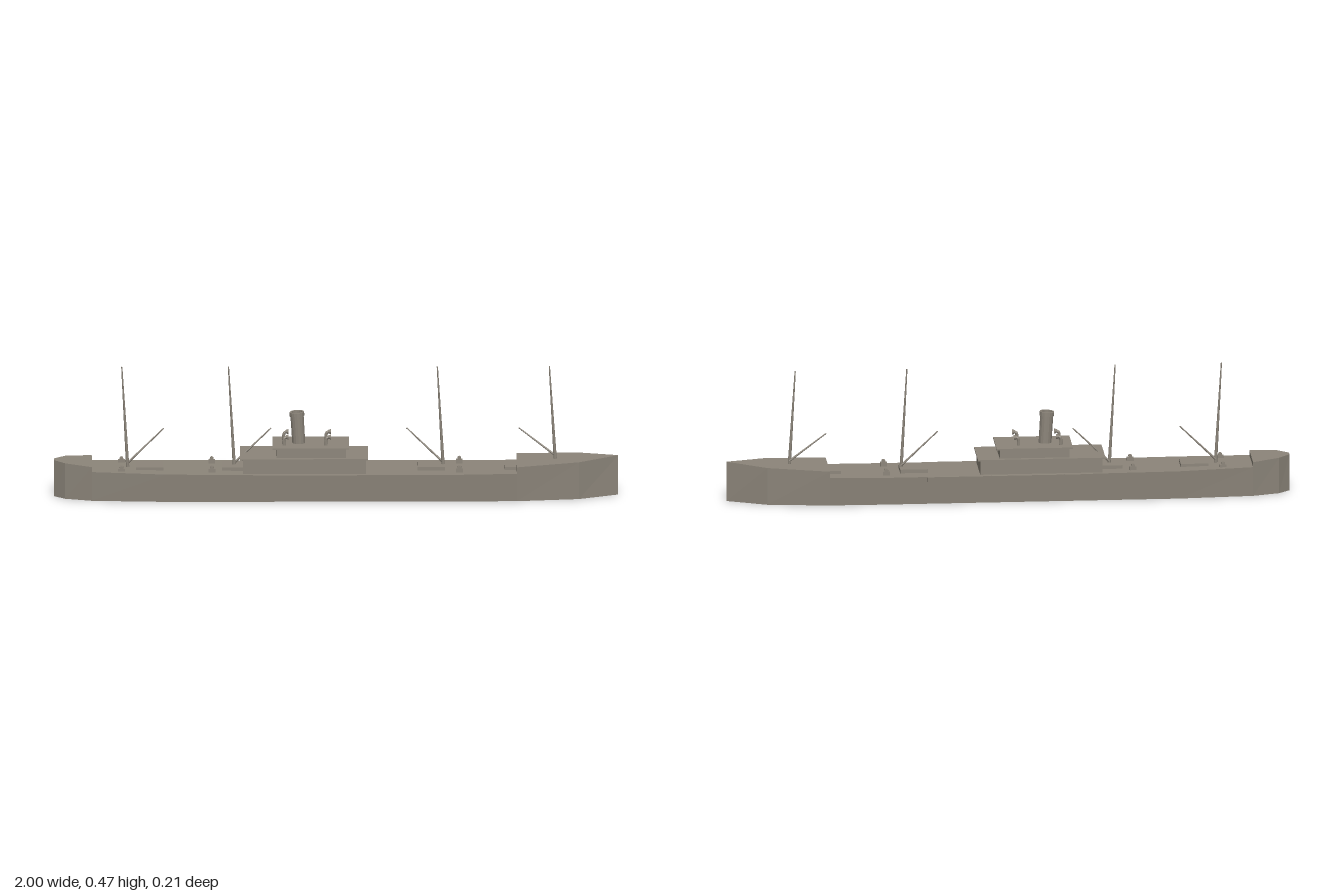
import * as THREE from 'three';

const hullGrey = new THREE.MeshStandardMaterial({ color: 0x8c857a, side: THREE.DoubleSide });
hullGrey.name = 'weathered grey';
hullGrey.flatShading = true;

function add(parent, name, geometry, x = 0, y = 0, z = 0) {
  const mesh = new THREE.Mesh(geometry, hullGrey);
  mesh.name = name;
  mesh.position.set(x, y, z);
  parent.add(mesh);
  return mesh;
}

// Box given by its x range, y range and half width
function block(parent, name, x0, x1, y0, y1, halfZ) {
  return add(parent, name, new THREE.BoxGeometry(x1 - x0, y1 - y0, halfZ * 2),
    (x0 + x1) / 2, (y0 + y1) / 2, 0);
}

// Tapered round pole between two points
function pole(parent, name, from, to, r0, r1) {
  const a = new THREE.Vector3(...from), b = new THREE.Vector3(...to);
  const dir = b.clone().sub(a);
  const mesh = add(parent, name, new THREE.CylinderGeometry(r1, r0, dir.length(), 8));
  mesh.position.copy(a).add(b).multiplyScalar(0.5);
  mesh.quaternion.setFromUnitVectors(new THREE.Vector3(0, 1, 0), dir.normalize());
  return mesh;
}

// Hull length: stations [x, half width, deck height], open underneath
function hullSection(parent, name, stations, bulkheadBase) {
  const p = [];
  const quad = (a, b, c, d) => p.push(...a, ...b, ...c, ...a, ...c, ...d);
  const top = ([x, w, y], s) => [x, y, s * w];
  const low = ([x, w], s) => [x, 0, s * w * 0.92];
  for (let i = 0; i < stations.length - 1; i++) {
    const a = stations[i], b = stations[i + 1];
    quad(low(a, 1), low(b, 1), top(b, 1), top(a, 1));
    quad(low(b, -1), low(a, -1), top(a, -1), top(b, -1));
    quad(top(a, 1), top(b, 1), top(b, -1), top(a, -1));
  }
  // Bulkheads where a raised deck steps down, and the blunt stern
  const first = stations[0], last = stations[stations.length - 1];
  const wall = (s, base, dir) => {
    const w = s[1] * (0.92 + 0.08 * base / s[2]);
    quad([s[0], base, -dir * w], [s[0], base, dir * w], top(s, dir), top(s, -dir));
  };
  if (first[0] === -1) wall(first, 0, -1);
  if (bulkheadBase && first[0] === -1) wall(last, bulkheadBase, 1);
  if (bulkheadBase && first[0] > 0) wall(first, bulkheadBase, -1);
  const g = new THREE.BufferGeometry();
  g.setAttribute('position', new THREE.Float32BufferAttribute(p, 3));
  g.computeVertexNormals();
  add(parent, name, g);
}

function cowlVent(parent, x, z) {
  const vent = new THREE.Group();
  vent.name = 'cowlVent';
  vent.position.set(x, 0.19, z);
  const bend = new THREE.CatmullRomCurve3([[0, 0], [0, 0.02], [0.003, 0.029], [0.012, 0.032]]
    .map(([px, py]) => new THREE.Vector3(px, py, 0)));
  add(vent, 'ventPipe', new THREE.TubeGeometry(bend, 8, 0.0055, 8));
  const mouth = add(vent, 'ventMouth',
    new THREE.CylinderGeometry(0.0095, 0.006, 0.01, 10, 1, true), 0.012, 0.032, 0);
  mouth.rotation.z = -Math.PI / 2;
  parent.add(vent);
}

function winch(parent, x, z) {
  const group = new THREE.Group();
  group.name = 'winch';
  group.position.set(x, 0.1, z);
  add(group, 'winchBase', new THREE.BoxGeometry(0.024, 0.014, 0.014), 0, 0.007, 0);
  const drum = add(group, 'winchDrum', new THREE.CylinderGeometry(0.007, 0.007, 0.018, 8), 0, 0.017, 0);
  drum.rotation.x = Math.PI / 2;
  parent.add(group);
}

export function createModel() {
  const ship = new THREE.Group();
  ship.name = 'cargoShip';

  // Hull with raised stern and bow decks
  hullSection(ship, 'sternHull',
    [[-1, 0.012, 0.132], [-0.96, 0.053, 0.131], [-0.865, 0.085, 0.125]], 0.106);
  hullSection(ship, 'mainHull',
    [[-0.865, 0.085, 0.107], [-0.6, 0.103, 0.102], [-0.3, 0.103, 0.1], [0.45, 0.103, 0.1], [0.64, 0.099, 0.102]]);
  hullSection(ship, 'bowHull',
    [[0.64, 0.1, 0.126], [0.86, 0.069, 0.136], [1, 0.0005, 0.144]], 0.102);

  // Long plates on both hull sides
  for (const s of [1, -1]) {
    const plate = add(ship, 'sidePlate', new THREE.BoxGeometry(0.59, 0.08, 0.004), 0, 0.06, s * 0.1012);
    plate.rotation.x = s * Math.atan(0.083);
  }

  // Two-storey deckhouse
  block(ship, 'lowerHouse', -0.33, 0.105, 0.095, 0.15, 0.087);
  block(ship, 'lowerRoof', -0.34, 0.113, 0.15, 0.155, 0.093);
  block(ship, 'upperHouse', -0.212, 0.035, 0.155, 0.187, 0.077);
  block(ship, 'upperRoof', -0.225, 0.046, 0.187, 0.192, 0.083);

  // Funnel, open at the top and leaning aft
  const funnel = add(ship, 'funnel', new THREE.LatheGeometry(
    [[0.023, 0], [0.0235, 0.1], [0.026, 0.1], [0.026, 0.115], [0.02, 0.115], [0.02, 0.07], [0, 0.07]]
      .map(([r, y]) => new THREE.Vector2(r, y)), 16), -0.132, 0.19, 0);
  funnel.rotation.z = 0.06;

  for (const s of [1, -1]) {
    for (const x of [-0.185, -0.035]) cowlVent(ship, x, s * 0.038);
    for (const x of [-0.76, -0.44, 0.437]) winch(ship, x, s * 0.063);
  }

  // Cargo hatches
  for (const x of [-0.66, -0.355, 0.337, 0.645]) {
    block(ship, 'hatch', x - 0.049, x + 0.049, 0.095, 0.113, 0.044);
  }

  // Masts leaning aft, each with a cargo boom: base x, base y, boom tip x
  for (const [x, y, tip] of [[-0.738, 0.1, -0.61], [-0.36, 0.1, -0.23], [0.38, 0.1, 0.25], [0.777, 0.125, 0.647]]) {
    pole(ship, 'mast', [x, y, 0], [x - 0.021, 0.47, 0], 0.006, 0.0022);
    pole(ship, 'boom', [x, y + 0.018, -0.003], [tip, 0.243, -0.01], 0.004, 0.0022);
  }
  return ship;
}
